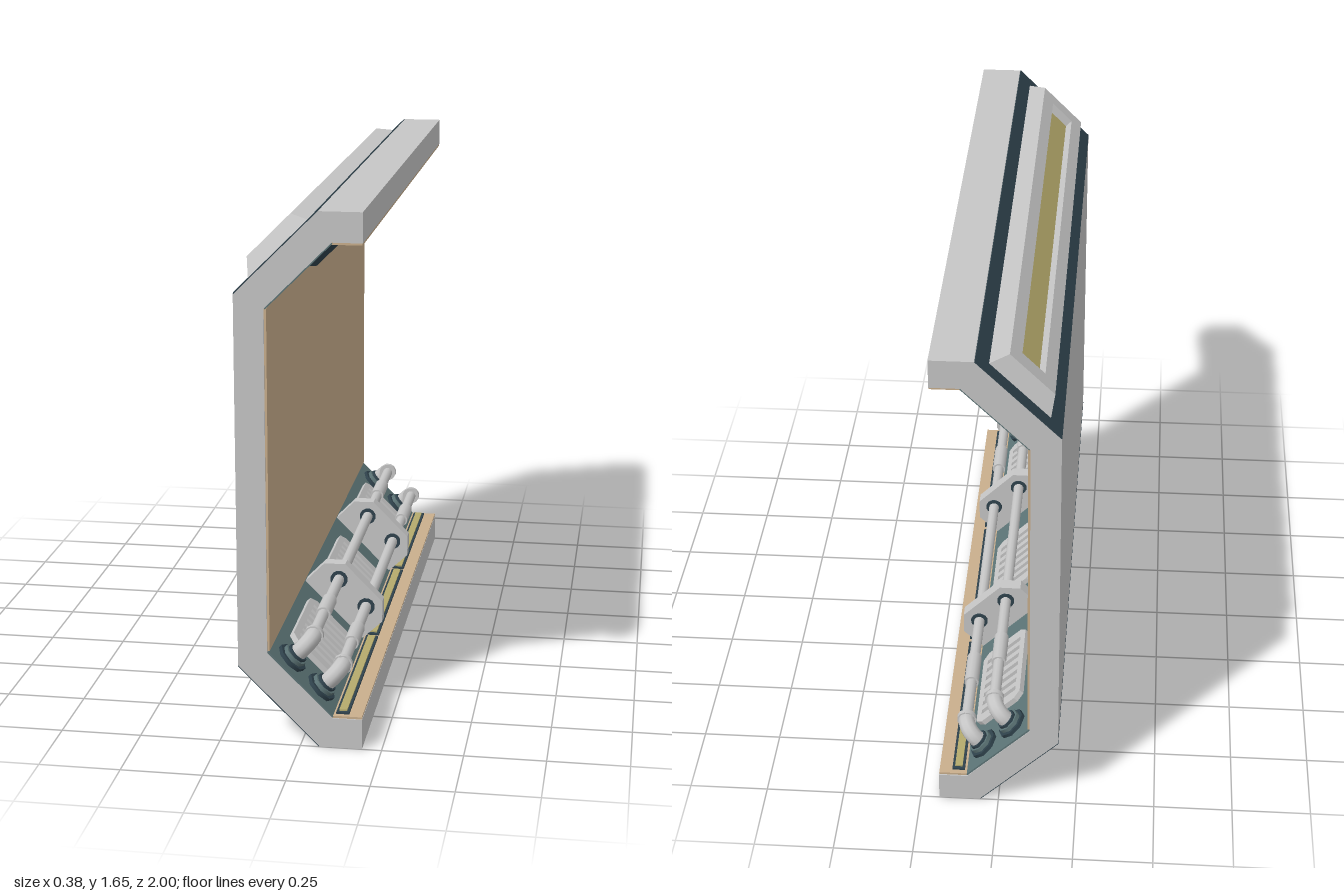
import * as THREE from 'three';

const mat = (name, color) => {
  const m = new THREE.MeshStandardMaterial({ color });
  m.name = name;
  return m;
};

export function createModel() {
  const grey = mat('light grey metal', 0xc6c6c6);
  const tan = mat('tan panel', 0xc9ae8c);
  const teal = mat('teal panel', 0x5c7476);
  const navy = mat('dark blue trim', 0x2f424c);
  const yellow = mat('yellow light', 0xb5aa6c);

  const root = new THREE.Group();
  root.name = 'wallSection';

  const add = (parent, name, geo, material, x = 0, y = 0, z = 0) => {
    const m = new THREE.Mesh(geo, material);
    m.name = name;
    m.position.set(x, y, z);
    parent.add(m);
    return m;
  };
  const box = (parent, name, material, w, h, d, x, y, z = 0) =>
    add(parent, name, new THREE.BoxGeometry(w, h, d), material, x, y, z);
  const polygon = pts => new THREE.Shape(pts.map(p => new THREE.Vector2(p[0], p[1])));

  // Group lying on a slope: local y is the surface normal, local x runs along the slope
  const slope = (name, x, y, degrees) => {
    const g = new THREE.Group();
    g.name = name;
    g.position.set(x, y, 0);
    g.rotation.z = THREE.MathUtils.degToRad(degrees);
    root.add(g);
    return g;
  };

  // Rectangular bevelled frame from rings of [half width, height, half length]
  const frameGeometry = rings => {
    const corners = [[1, 1], [1, -1], [-1, -1], [-1, 1]];
    const pos = [];
    const pt = ([w, h, l], k) => [corners[k % 4][0] * w, h, corners[k % 4][1] * l];
    for (let i = 0; i < rings.length - 1; i++) {
      for (let k = 0; k < 4; k++) {
        const a = pt(rings[i], k), b = pt(rings[i], k + 1);
        const c = pt(rings[i + 1], k + 1), d = pt(rings[i + 1], k);
        pos.push(...a, ...b, ...c, ...a, ...c, ...d);
      }
    }
    const g = new THREE.BufferGeometry();
    g.setAttribute('position', new THREE.Float32BufferAttribute(pos, 3));
    g.computeVertexNormals();
    return g;
  };

  // Structural wall
  const wall = polygon([
    [0.19, 0], [0.19, 0.095], [0.10, 0.095], [-0.10, 0.295], [-0.10, 1.36], [0.10, 1.56],
    [0.19, 1.56], [0.19, 1.65], [0.06, 1.65], [-0.19, 1.40], [-0.19, 0.25], [0.06, 0],
  ]);
  add(root, 'wallBody', new THREE.ExtrudeGeometry(wall, { depth: 2, bevelEnabled: false }), grey, 0, 0, -1);

  // Inner linings
  box(root, 'wallLining', tan, 0.008, 1.06, 1.992, -0.097, 1.33 - 0.5);
  box(root, 'ceilingLining', tan, 0.09, 0.008, 1.992, 0.144, 1.557);
  box(root, 'floorLining', tan, 0.09, 0.008, 1.992, 0.144, 0.098);
  for (const z of [-0.66, 0, 0.66]) {
    box(root, 'floorLightBase', navy, 0.04, 0.008, 0.64, 0.128, 0.104, z);
    box(root, 'floorLight', yellow, 0.024, 0.006, 0.62, 0.128, 0.110, z);
  }

  // Outer upper slope with its long light
  const outerTop = slope('outerUpperSlope', -0.065, 1.525, 45);
  box(outerTop, 'outerUpperPanel', navy, 0.35, 0.006, 1.998, 0, 0);
  add(outerTop, 'longLightFrame', frameGeometry([
    [0.127, 0, 0.95], [0.092, 0.05, 0.91], [0.047, 0.05, 0.85], [0.047, 0.02, 0.85],
  ]), grey);
  box(outerTop, 'longLight', yellow, 0.096, 0.008, 1.702, 0, 0.018);

  // Outer lower slope
  const outerLow = slope('outerLowerSlope', -0.065, 0.125, 135);
  box(outerLow, 'outerLowerPanel', navy, 0.35, 0.006, 1.998, 0, 0);

  // Inner upper slope with the framed lamp
  const innerTop = slope('innerUpperSlope', 0, 1.46, -135);
  box(innerTop, 'innerUpperPanel', teal, 0.28, 0.006, 1.996, 0, 0.001);
  add(innerTop, 'lampFrame', frameGeometry([
    [0.141, 0, 0.34], [0.141, 0.01, 0.34], [0.122, 0.037, 0.30], [0.095, 0.037, 0.265],
    [0.08, 0.018, 0.24],
  ]), navy);
  box(innerTop, 'lampGlass', yellow, 0.162, 0.008, 0.482, 0, 0.015);

  // Inner lower slope with vents, brackets and pipes
  const innerLow = slope('innerLowerSlope', 0, 0.197, -45);
  box(innerLow, 'innerLowerPanel', teal, 0.28, 0.006, 1.996, 0, 0.001);

  // Slotted vents
  const vent = polygon([
    [0.075, 0.175], [-0.075, 0.175], [-0.1, 0.155], [-0.1, -0.155],
    [-0.075, -0.175], [0.075, -0.175], [0.1, -0.155], [0.1, 0.155],
  ]);
  for (let i = -3; i <= 3; i++) {
    const z = i * 0.042;
    vent.holes.push(new THREE.Path([[-0.078, -0.01], [-0.078, 0.01], [0.078, 0.01], [0.078, -0.01]]
      .map(p => new THREE.Vector2(p[0], p[1] + z))));
  }
  const ventGeo = new THREE.ExtrudeGeometry(vent, { depth: 0.022, bevelEnabled: false }).rotateX(-Math.PI / 2);
  for (const z of [-0.635, 0, 0.635]) add(innerLow, 'vent', ventGeo, grey, 0, 0, z);

  // Chamfered pipe brackets
  const bracket = polygon([
    [-0.135, 0], [0.135, 0], [0.138, 0.094], [0.088, 0.144], [-0.087, 0.144], [-0.136, 0.094],
  ]);
  const bracketGeo = new THREE.ExtrudeGeometry(bracket, { depth: 0.044, bevelEnabled: false });
  for (const z of [-0.335, 0.335]) add(innerLow, 'pipeBracket', bracketGeo, grey, 0, 0, z - 0.022);

  // Pipes: straight run, sleeves, collars, and an elbow on a flange at each end
  const H = 0.092;
  const rod = (r, l, n = 12) => new THREE.CylinderGeometry(r, r, l, n);
  const along = (r, l) => rod(r, l).rotateX(Math.PI / 2);
  const elbow = new THREE.TorusGeometry(0.05, 0.027, 10, 6, Math.PI / 2).rotateY(-Math.PI / 2);
  for (const s of [-0.064, 0.064]) {
    const pipe = new THREE.Group();
    pipe.name = 'pipe';
    pipe.position.x = s;
    innerLow.add(pipe);
    add(pipe, 'pipeRun', along(0.018, 1.73), grey, 0, H, 0);
    for (const side of [0, 1]) {
      const end = new THREE.Group();
      end.name = 'pipeEnd';
      end.rotation.y = side * Math.PI;
      pipe.add(end);
      add(end, 'pipeSleeve', along(0.024, 0.13), grey, 0, H, 0.62);
      add(end, 'bracketCollar', along(0.029, 0.054), navy, 0, H, 0.335);
      add(end, 'elbowCuff', along(0.031, 0.016), grey, 0, H, 0.862);
      add(end, 'elbow', elbow, grey, 0, 0.042, 0.865);
      add(end, 'elbowFoot', rod(0.027, 0.042), grey, 0, 0.021, 0.915);
      add(end, 'flangeBase', rod(0.052, 0.016, 8), navy, 0, 0.008, 0.915);
      add(end, 'flangeRing', rod(0.041, 0.014, 8), teal, 0, 0.022, 0.915);
      add(end, 'flangeCap', rod(0.034, 0.01, 8), navy, 0, 0.033, 0.915);
    }
  }
  return root;
}
